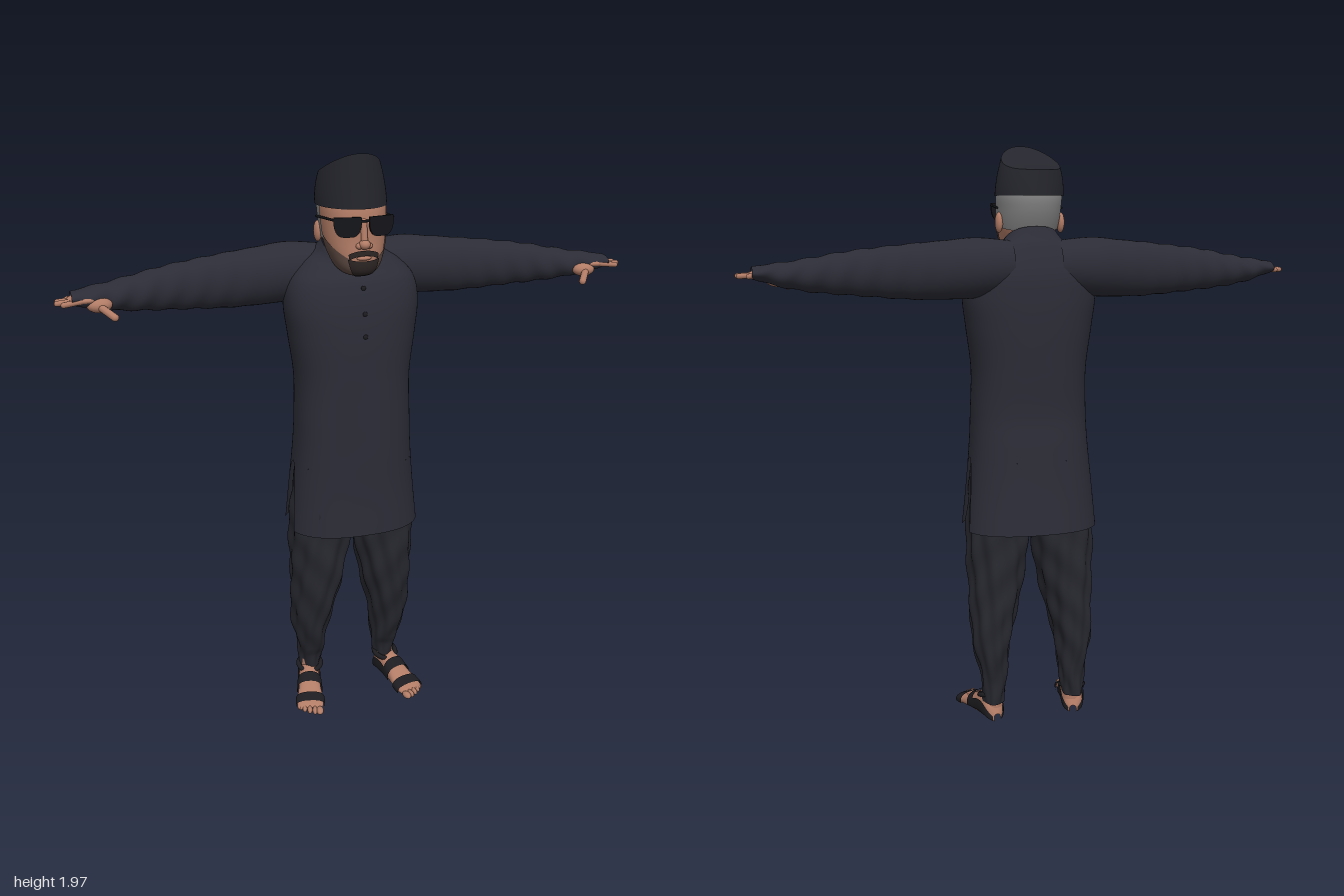
import * as THREE from 'three';
import { ParametricGeometry } from 'three/addons/geometries/ParametricGeometry.js';

const { PI, sin, cos, abs, sqrt } = Math;
const lerp = THREE.MathUtils.lerp;
const material = (name, color, side = THREE.FrontSide) =>
  Object.assign(new THREE.MeshStandardMaterial({ color, side }), { name });

// Smoothly interpolates the rows [key, ...values] of a cross-section table.
function sample(tab, k) {
  const n = tab.length;
  let i = 0;
  while (i < n - 2 && k > tab[i + 1][0]) i++;
  const a = tab[i], b = tab[i + 1], p = tab[Math.max(i - 1, 0)], q = tab[Math.min(i + 2, n - 1)];
  const h = b[0] - a[0], t = (k - a[0]) / h, t2 = t * t, t3 = t2 * t;
  return a.map((v, c) => {
    if (c === 0) return k;
    const m0 = (b[c] - p[c]) / (b[0] - p[0]) * h, m1 = (q[c] - v) / (q[0] - a[0]) * h;
    return (2 * t3 - 3 * t2 + 1) * v + (t3 - 2 * t2 + t) * m0 + (3 * t2 - 2 * t3) * b[c] + (t3 - t2) * m1;
  });
}
const power = (v, p) => Math.sign(v) * abs(v) ** p;

// Upright shell, rows [y, centreX, radiusX, frontZ, backZ, tilt]; angle 0 faces front.
const upright = (tab, p = 1, fold = () => 0) => (a, y, off = 0) => {
  const [, cx, rx, zf, zb, tilt = 0] = sample(tab, y), o = off + fold(a, y);
  return [cx + (rx + o) * power(sin(a), p), y - tilt * cos(a), (zf + zb) / 2 + ((zf - zb) / 2 + o) * power(cos(a), p)];
};

// Patch of a shell between two angles and two key limits (numbers or functions).
function patch(shell, a0, a1, k0, k1, off = 0, nu = 40, nv = 30) {
  const at = (f, x) => (typeof f === 'function' ? f(x) : f);
  return new ParametricGeometry((u, v, out) => {
    const lo = at(a0, v), hi = at(a1, v), a = lerp(lo, hi, u);
    out.set(...shell(a, lerp(at(k0, a), at(k1, a), v), off));
  }, nu, nv);
}

export function createModel() {
  const model = new THREE.Group();
  model.name = 'standingMan';
  const cloth = material('tunicCloth', 0x2b2c36, THREE.DoubleSide);
  const trouserCloth = material('trouserCloth', 0x27282f, THREE.DoubleSide);
  const hatCloth = material('hatCloth', 0x25262d, THREE.DoubleSide);
  const skin = material('skin', 0xb27c66);
  const grey = material('greyHair', 0x868686, THREE.DoubleSide);
  const stubble = material('stubble', 0x5c4841, THREE.DoubleSide);
  const dark = material('darkBeard', 0x2c2524, THREE.DoubleSide);
  const glass = material('blackGlasses', 0x141519);
  const leather = material('sandalLeather', 0x1d1d21, THREE.DoubleSide);

  const add = (parent, name, geo, mat, x = 0, y = 0, z = 0) => {
    const m = new THREE.Mesh(geo, mat);
    m.name = name;
    m.position.set(x, y, z);
    parent.add(m);
    return m;
  };
  const blob = (parent, name, mat, x, y, z, sx, sy, sz) =>
    add(parent, name, new THREE.SphereGeometry(1, 20, 14), mat, x, y, z).scale.set(sx, sy, sz);
  const rod = (parent, name, mat, from, to, r) => {
    const a = new THREE.Vector3(...from), d = new THREE.Vector3(...to).sub(a);
    const m = add(parent, name, new THREE.CapsuleGeometry(r, d.length(), 5, 10), mat);
    m.position.copy(a).addScaledVector(d, 0.5);
    m.quaternion.setFromUnitVectors(new THREE.Vector3(0, 1, 0), d.normalize());
  };

  // Tunic: closed upper body, then front and back skirt panels with side slits
  const body = upright([
    [0.705, 0.002, 0.232, 0.15, -0.185, 0], [0.85, 0, 0.217, 0.148, -0.17, 0], [1.0, 0, 0.203, 0.15, -0.158, 0],
    [1.1, 0, 0.198, 0.15, -0.15, 0], [1.25, 0, 0.195, 0.15, -0.158, 0], [1.4, 0, 0.214, 0.149, -0.165, 0],
    [1.5, 0, 0.225, 0.14, -0.164, 0], [1.58, 0, 0.21, 0.118, -0.155, 0], [1.64, -0.002, 0.155, 0.09, -0.125, 0.02],
    [1.665, -0.005, 0.11, 0.08, -0.1, 0.03], [1.69, -0.008, 0.086, 0.074, -0.08, 0.035]], 0.82);
  const slitTop = 0.95;
  add(model, 'tunicBody', patch(body, -PI, PI, slitTop, 1.69, 0, 72, 60), cloth);
  const gap = v => 0.28 * sqrt(1 - v);
  for (const [name, c] of [['tunicFrontPanel', 0], ['tunicBackPanel', PI]])
    add(model, name, patch(body, v => c - PI / 2 + gap(v), v => c + PI / 2 - gap(v), 0.705, slitTop), cloth);
  add(model, 'placket', patch(body, -0.045, 0.045, 1.4, 1.62, 0.003, 4, 16), cloth);
  for (const y of [1.413, 1.487, 1.566]) {
    const [x, by, z] = body(0, y, 0.004);
    blob(model, 'button', leather, x, by, z, 0.008, 0.008, 0.004);
  }

  // Legs, arms and feet are built on the left and mirrored
  const leg = upright([
    [0.09, 0.145, 0.034, -0.025, -0.115], [0.16, 0.142, 0.042, -0.01, -0.12], [0.2, 0.142, 0.046, 0.012, -0.127],
    [0.3, 0.147, 0.062, 0.05, -0.143], [0.5, 0.127, 0.087, 0.102, -0.148], [0.7, 0.112, 0.104, 0.12, -0.148],
    [0.95, 0.1, 0.094, 0.12, -0.13]], 0.95,
  (a, y) => 0.005 * Math.min(1, y * 2) * sin(9 * a + 14 * y) + 0.003 * sin(4 * a - 40 * y));
  const arm = (tab => (a, x) => {
    const [, cy, cz, ry, rz] = sample(tab, x);
    const w = 1 + 0.045 * Math.max(0, x - 0.25) * sin(75 * x + 3 * sin(a + 1)) * 2;
    return [x, cy + ry * w * cos(a), cz + rz * w * sin(a)];
  })([[0.08, 1.595, -0.07, 0.085, 0.075], [0.2, 1.592, -0.078, 0.098, 0.084], [0.3, 1.586, -0.068, 0.095, 0.075],
    [0.4, 1.582, -0.057, 0.09, 0.063], [0.6, 1.578, -0.031, 0.071, 0.054], [0.72, 1.573, -0.012, 0.055, 0.052],
    [0.8, 1.573, 0.004, 0.042, 0.05], [0.87, 1.578, 0.02, 0.028, 0.049], [0.905, 1.58, 0.027, 0.019, 0.047]]);
  // Foot rows: [z, half width, top height]
  const foot = (tab => (a, z, off = 0) => {
    const [, rx, top] = sample(tab, z), h = (top - 0.022) / 2;
    return [(rx + off) * power(cos(a), 0.85), 0.022 + h + (h + off) * power(sin(a), 0.85), z];
  })([[-0.132, 0.012, 0.05], [-0.12, 0.028, 0.08], [-0.09, 0.036, 0.115], [-0.05, 0.037, 0.115], [0, 0.04, 0.09],
    [0.05, 0.046, 0.065], [0.09, 0.046, 0.052], [0.108, 0.034, 0.042]]);
  const soleShape = new THREE.Shape();
  soleShape.splineThru([[0.036, -0.12], [0.04, -0.05], [0.05, 0.03], [0.057, 0.09], [0.035, 0.14], [-0.01, 0.147],
    [-0.046, 0.115], [-0.052, 0.07], [-0.042, 0], [-0.036, -0.08], [-0.03, -0.125], [0, -0.146], [0.036, -0.12]]
    .map(([x, z]) => new THREE.Vector2(x, -z)));
  soleShape.curves.shift();

  for (const s of [1, -1]) {
    const side = new THREE.Group();
    side.name = s > 0 ? 'leftLimbs' : 'rightLimbs';
    side.scale.x = s;
    model.add(side);
    add(side, 'trouserLeg', patch(leg, -PI, PI, 0.09, 0.95, 0, 80, 60), trouserCloth);
    add(side, 'sleeve', patch(arm, 0, 2 * PI, 0.08, 0.905, 0, 36, 90), cloth);

    // Hand
    blob(side, 'palm', skin, 0.865, 1.575, 0.027, 0.055, 0.016, 0.044);
    blob(side, 'thumbBase', skin, 0.822, 1.557, 0.048, 0.04, 0.024, 0.03);
    rod(side, 'thumb', skin, [0.825, 1.557, 0.06], [0.785, 1.532, 0.118], 0.012);
    [[-0.004, 0.915], [0.022, 0.945], [0.046, 0.948], [0.072, 0.93]].forEach(([z, x], i) =>
      rod(side, 'finger', skin, [0.87, 1.575, 0.005 + i * 0.018], [x, 1.57, z], 0.009));

    // Sandalled foot
    const f = new THREE.Group();
    f.name = 'sandalledFoot';
    f.position.set(0.17, 0, 0.028);
    f.rotation.y = 0.24;
    side.add(f);
    const sole = new THREE.ExtrudeGeometry(soleShape, { depth: 0.016, bevelSize: 0.003, bevelThickness: 0.004, bevelSegments: 2, curveSegments: 40 });
    add(f, 'sole', sole.rotateX(-PI / 2), leather, 0, 0.004, 0);
    add(f, 'foot', patch(foot, 0, 2 * PI, -0.132, 0.108, 0, 28, 30), skin);
    add(f, 'ankle', new THREE.CylinderGeometry(0.032, 0.036, 0.11, 20), skin, -0.004, 0.125, -0.09);
    for (let i = 0; i < 5; i++)
      blob(f, 'toe', skin, -0.033 + i * 0.018, 0.034, 0.117 - i * i * 0.0022, i ? 0.009 : 0.013, 0.012, 0.021);
    for (const [z0, z1] of [[0.05, 0.088], [-0.025, 0.01]])
      add(f, 'strap', patch(foot, -0.3, PI + 0.3, z0, z1, 0.006, 24, 6), leather);
    add(f, 'heelStrap', patch(foot, -0.4, 0.3, -0.132, -0.01, 0.005, 6, 16), leather);
    add(f, 'heelStrap', patch(foot, PI - 0.3, PI + 0.4, -0.132, -0.01, 0.005, 6, 16), leather);
    const tie = add(f, 'ankleStrap', new THREE.TorusGeometry(0.041, 0.009, 8, 28), leather, -0.003, 0.112, -0.082);
    tie.rotation.x = PI / 2 + 0.3;
  }
  blob(model, 'trouserSeat', trouserCloth, 0, 0.86, -0.01, 0.17, 0.2, 0.115);

  // Head
  const head = new THREE.Group();
  head.name = 'head';
  model.add(head);
  const cx = -0.01;
  const skull = upright([
    [1.608, cx, 0.025, 0.125, 0.06], [1.618, cx, 0.048, 0.15, 0.03], [1.64, cx, 0.07, 0.162, 0], [1.68, cx, 0.088, 0.163, -0.035],
    [1.72, cx, 0.098, 0.161, -0.06], [1.78, cx, 0.104, 0.16, -0.083], [1.83, cx, 0.105, 0.152, -0.088], [1.87, cx, 0.09, 0.13, -0.07]], 0.9);
  add(head, 'face', patch(skull, -PI, PI, 1.608, 1.87, 0, 56, 48), skin);
  add(head, 'neck', new THREE.CylinderGeometry(0.066, 0.07, 0.16, 28), skin, cx, 1.65, 0);
  blob(head, 'underChin', stubble, cx, 1.628, 0.08, 0.055, 0.018, 0.06);
  add(head, 'hair', patch(skull, 1.5, 2 * PI - 1.5, a => 1.7 + 0.03 * abs(cos(a / 2)), 1.84, 0.004), grey);
  add(head, 'cheekBeard', patch(skull, -1.6, 1.6, 1.612, a => 1.655 + 0.085 * (abs(a) / 1.6) ** 1.5, 0.003), stubble);
  add(head, 'goatee', patch(skull, -0.55, 0.55, 1.609, a => 1.664 + 0.02 * a * a, 0.008, 20, 12), dark);
  add(head, 'moustache', patch(skull, -0.5, 0.5, a => 1.68 - 0.05 * a * a, a => 1.697 - 0.05 * a * a, 0.007, 20, 6), dark);
  blob(head, 'lips', skin, cx, 1.672, 0.162, 0.024, 0.007, 0.01);
  blob(head, 'noseTip', skin, cx, 1.716, 0.168, 0.018, 0.016, 0.02);
  rod(head, 'noseBridge', skin, [cx, 1.718, 0.168], [cx, 1.785, 0.156], 0.011);

  // Sunglasses
  const lens = new THREE.Shape();
  lens.moveTo(-0.043, 0.028).lineTo(0.043, 0.028);
  lens.bezierCurveTo(0.047, -0.01, 0.035, -0.034, 0.012, -0.034).lineTo(-0.012, -0.034);
  lens.bezierCurveTo(-0.035, -0.034, -0.047, -0.01, -0.043, 0.028);
  for (const s of [-1, 1]) {
    blob(head, 'ear', skin, cx + s * 0.107, 1.737, 0.01, 0.013, 0.034, 0.021);
    blob(head, 'nostril', skin, cx + s * 0.016, 1.711, 0.163, 0.011, 0.01, 0.012);
    const l = add(head, 'lens', new THREE.ExtrudeGeometry(lens, { depth: 0.006, bevelEnabled: false, curveSegments: 10 }), glass, cx + s * 0.054, 1.775, 0.163);
    l.rotation.y = s * 0.22;
    rod(head, 'glassesArm', glass, [cx + s * 0.098, 1.795, 0.152], [cx + s * 0.112, 1.785, 0.015], 0.004);
  }
  rod(head, 'glassesBridge', glass, [cx - 0.015, 1.79, 0.172], [cx + 0.015, 1.79, 0.172], 0.004);

  // Hat: sloping crown, tall at the front
  const hat = new THREE.Group();
  hat.name = 'hat';
  model.add(hat);
  const crown = z => 1.912 + 0.087 * Math.max(0, (z + 0.1) / 0.255) ** 1.8;
  const wall = (a, t) => {
    const rx = lerp(0.114, 0.096, t * t), z = 0.029 + lerp(0.131, 0.126, t) * cos(a);
    return [-0.012 - 0.006 * t + rx * sin(a), lerp(1.824, crown(z) - 0.006, t), z];
  };
  const lid = (a, t) => {
    const r = 1 - t, z = 0.029 + 0.126 * r * cos(a);
    return [-0.018 + 0.096 * r * sin(a), crown(z) - 0.006 * r ** 6, z];
  };
  add(hat, 'hatWall', patch(wall, -PI, PI, 0, 1, 0, 56, 16), hatCloth);
  add(hat, 'hatCrown', patch(lid, -PI, PI, 0, 0.999, 0, 56, 16), hatCloth);
  return model;
}
